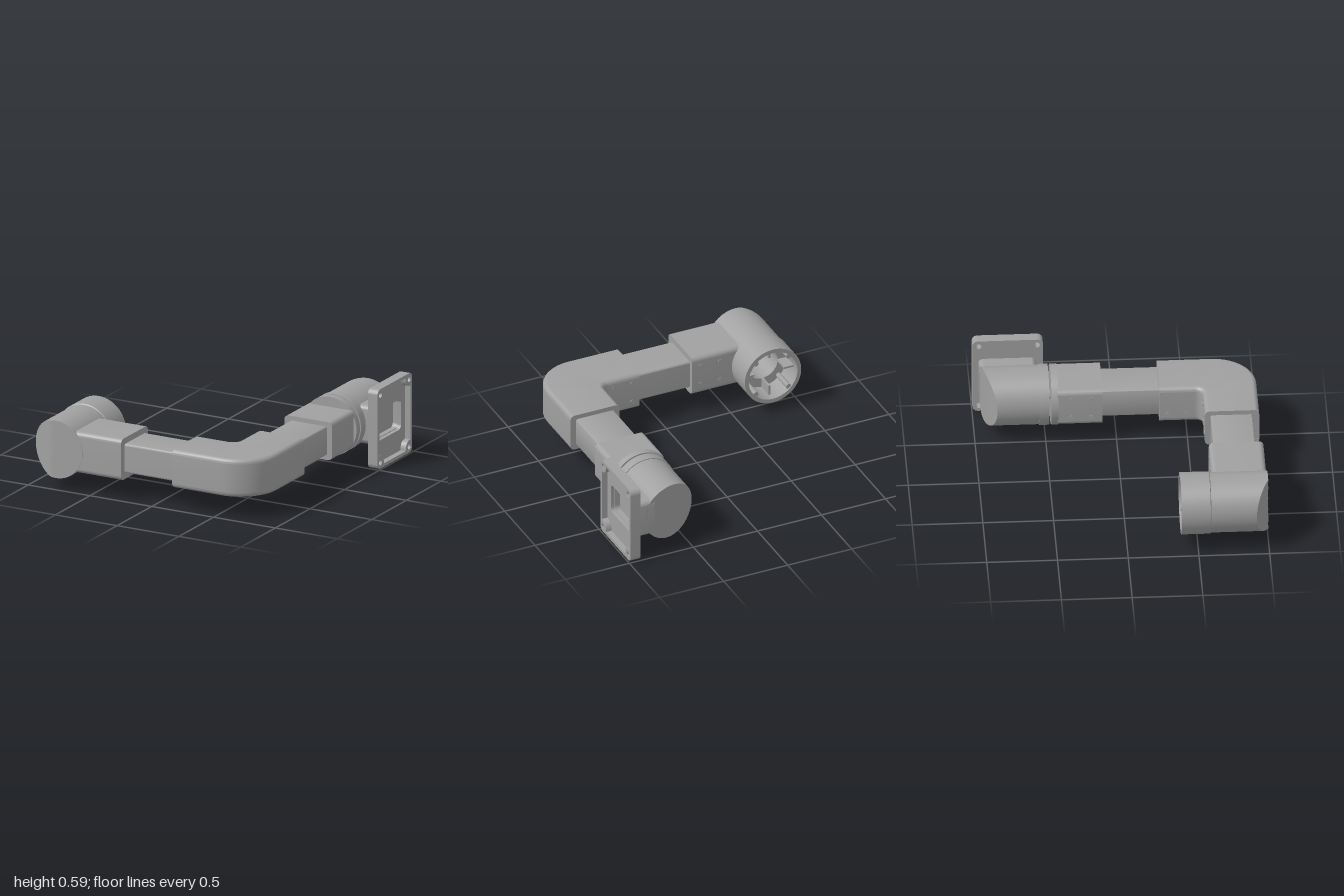
import * as THREE from 'three';
import { toCreasedNormals } from 'three/addons/utils/BufferGeometryUtils.js';

const CY = 0.3; // height of the arm's centre line

// Rounded rectangle outline, used for shapes and holes
function roundRect(w, h, r, target = new THREE.Shape()) {
  const a = w / 2, b = h / 2;
  target.moveTo(-a + r, -b).lineTo(a - r, -b);
  target.absarc(a - r, -b + r, r, -Math.PI / 2, 0);
  target.absarc(a - r, b - r, r, 0, Math.PI / 2);
  target.absarc(-a + r, b - r, r, Math.PI / 2, Math.PI);
  target.absarc(-a + r, -b + r, r, Math.PI, Math.PI * 1.5);
  return target;
}

function circlePath(x, y, r) {
  return new THREE.Path().absarc(x, y, r, 0, Math.PI * 2);
}

const extrude = (shape, depth) => toCreasedNormals(
  new THREE.ExtrudeGeometry(shape, { depth, bevelEnabled: false, curveSegments: 8 }), 0.6);

// Solid of revolution along z through (cx, CY); points are [radius, z]
function turned(points, cx, deform) {
  const geo = new THREE.LatheGeometry(points.map(p => new THREE.Vector2(...p)), 64);
  geo.rotateX(Math.PI / 2).translate(cx, CY, 0);
  if (deform) {
    const pos = geo.attributes.position;
    for (let i = 0; i < pos.count; i++) pos.setZ(i, deform(pos.getX(i), pos.getZ(i)));
  }
  return toCreasedNormals(geo, 0.5);
}

// Rounded-rectangle section swept between matching inner and outer points [ix, iz, ox, oz]
function loft(stations, height, r) {
  const pos = [], idx = [];
  const w0 = Math.hypot(stations[0][2] - stations[0][0], stations[0][3] - stations[0][1]);
  const ring = roundRect(w0, height, r).getPoints(6);
  if (ring[0].distanceTo(ring[ring.length - 1]) < 1e-6) ring.pop();
  const n = ring.length, last = stations.length - 1;
  for (const [ix, iz, ox, oz] of stations) {
    const w = Math.hypot(ox - ix, oz - iz);
    for (const p of ring) {
      // keep the corner radius constant while the width changes
      const off = Math.sign(p.x) * (w / 2 - w0 / 2) + p.x;
      const u = 0.5 + off / w;
      pos.push(ix + (ox - ix) * u, CY + p.y, iz + (oz - iz) * u);
    }
  }
  for (let i = 0; i < last; i++) for (let j = 0; j < n; j++) {
    const a = i * n + j, b = i * n + (j + 1) % n, c = b + n, d = a + n;
    idx.push(a, b, d, b, c, d);
  }
  for (let j = 1; j < n - 1; j++) {
    idx.push(0, j + 1, j);
    idx.push(last * n, last * n + j, last * n + j + 1);
  }
  const geo = new THREE.BufferGeometry();
  geo.setAttribute('position', new THREE.Float32BufferAttribute(pos, 3));
  geo.setIndex(idx);
  return toCreasedNormals(geo, 0.6);
}

export function createModel() {
  const model = new THREE.Group();
  const metal = new THREE.MeshStandardMaterial({ color: 0xa0a0a0 });
  metal.name = 'grey metal';

  function add(name, geo, parent = model) {
    const mesh = new THREE.Mesh(geo, metal);
    mesh.name = name;
    parent.add(mesh);
    return mesh;
  }
  function group(name) {
    const g = new THREE.Group();
    g.name = name;
    model.add(g);
    return g;
  }
  // Rectangular bars running along x or z
  const barX = (name, x0, x1, z0, z1, h, r) => add(name,
    extrude(roundRect(z1 - z0, h, r), x1 - x0).rotateY(Math.PI / 2).translate(x0, CY, (z0 + z1) / 2));
  const barZ = (name, x0, x1, z0, z1, h, r) => add(name,
    extrude(roundRect(x1 - x0, h, r), z1 - z0).translate((x0 + x1) / 2, CY, z0));

  // Open swivel housing with a sloped cap
  const HX = -0.775;
  const capRings = R => [1, 0.9, 0.8, 0.7, 0.6, 0.45, 0.3, 0.15, 0].map(k => R * k);
  add('openHousing', turned([
    [0, 0.85], [0.12, 0.85], [0.12, 0.56], [0.19, 0.56], [0.19, 0.38], [0.22, 0.38],
    [0.22, 0.585], [0.213, 0.59], ...capRings(0.213).map(r => [r, 1])
  ], HX, (x, z) => z > 0.99 ? Math.min(1, 0.91 + (x + 0.988) * 0.53) : z));

  // Screw bosses and ribs inside the open end
  const inside = group('housingInterior');
  for (let i = 0; i < 4; i++) {
    const a = Math.PI / 4 + i * Math.PI / 2;
    add('boss', new THREE.CylinderGeometry(0.02, 0.02, 0.17, 16).rotateX(Math.PI / 2)
      .translate(HX + 0.18 * Math.cos(a), CY + 0.18 * Math.sin(a), 0.475), inside);
    const b = i * Math.PI / 2;
    add('rib', new THREE.BoxGeometry(0.08, 0.014, 0.12).rotateZ(b)
      .translate(HX + 0.155 * Math.cos(b), CY + 0.155 * Math.sin(b), 0.5), inside);
  }

  // Straight run along x
  barX('housingSocket', -0.72, -0.25, 0.61, 0.997, 0.305, 0.035);
  barX('frontTube', -0.27, 0.18, 0.645, 0.945, 0.215, 0.015);

  // Corner elbow: small inner fillet, wide outer curve
  const stations = [[0.46, 0.3, 0.845, 0.3]];
  for (let i = 0; i <= 16; i++) {
    const a = (i / 16) * Math.PI / 2, c = Math.cos(a), s = Math.sin(a);
    stations.push([0.405 + 0.055 * c, 0.55 + 0.055 * s, 0.545 + 0.3 * c, 0.69 + 0.3 * s]);
  }
  stations.push([0.16, 0.605, 0.16, 0.99]);
  add('elbow', loft(stations, 0.282, 0.035));

  // Straight run along z
  barZ('sideTube', 0.505, 0.8, -0.12, 0.32, 0.215, 0.015);
  barZ('swivelSocket', 0.457, 0.843, -0.42, -0.1, 0.282, 0.035);

  // Swivel joint: two flanges on a thin pivot, then the capped body
  const SX = 0.65;
  const disc = (r, z0, z1) => turned([[0, z0], [r, z0], [r, z1], [0, z1]], SX);
  add('lowerFlange', disc(0.216, -0.462, -0.412));
  add('pivot', disc(0.035, -0.49, -0.45));
  add('upperFlange', disc(0.216, -0.545, -0.476));
  add('swivelBody', turned([
    ...capRings(0.21).reverse().map(r => [r, -0.95]), [0.21, -0.53], [0, -0.53]
  ], SX, (x, z) => {
    const t = (x - 0.44) / 0.42;
    return z < -0.94 ? -(0.845 + 0.11 * (2 * t - t * t)) : z;
  }));

  // Mounting neck and plate facing +x, with a recess, corner bosses and screw holes
  const plate = group('mountingPlate');
  const PZ = -0.747, PY = 0.295, W = 0.5, H = 0.59;
  const facing = (name, shape, x0, x1, y, z) => add(name,
    extrude(shape, x1 - x0).rotateY(Math.PI / 2).translate(x0, y, z), plate);
  const windowHole = () => roundRect(0.335, 0.225, 0.035, new THREE.Path());

  const neck = roundRect(0.405, 0.282, 0.035);
  neck.holes.push(windowHole());
  facing('neck', neck, 0.78, 0.915, CY, -0.752);
  facing('recessFloor', roundRect(0.34, 0.23, 0.035), 0.84, 0.875, CY, -0.752);

  const hx = W / 2 - 0.043, hy = H / 2 - 0.045;
  const addScrewHoles = shape => {
    for (const sx of [-1, 1]) for (const sy of [-1, 1])
      shape.holes.push(circlePath(sx * hx, sy * hy, 0.021));
    return shape;
  };
  const back = addScrewHoles(roundRect(W, H, 0.04));
  back.holes.push(windowHole());
  facing('plateBack', back, 0.91, 0.945, PY, PZ);

  const rim = addScrewHoles(roundRect(W, H, 0.04));
  const ix = W / 2 - 0.025, iy = H / 2 - 0.025, nx = hx - 0.05, ny = hy - 0.05;
  const cut = new THREE.Path().moveTo(-nx, -iy).lineTo(nx, -iy);
  cut.quadraticCurveTo(nx, -ny, ix, -ny).lineTo(ix, ny);
  cut.quadraticCurveTo(nx, ny, nx, iy).lineTo(-nx, iy);
  cut.quadraticCurveTo(-nx, ny, -ix, ny).lineTo(-ix, -ny);
  cut.quadraticCurveTo(-nx, -ny, -nx, -iy);
  rim.holes.push(cut);
  facing('plateRim', rim, 0.945, 0.988, PY, PZ);

  // Flush screws on the inner faces of the sockets, four to each
  const screws = group('screws');
  const screw = () => new THREE.CylinderGeometry(0.016, 0.016, 0.006, 16);
  for (const dy of [-0.075, 0.075]) {
    for (const x of [-0.47, -0.32, 0.22, 0.36])
      add('screw', screw().rotateX(Math.PI / 2).translate(x, CY + dy, x < 0 ? 0.609 : 0.604), screws);
    for (const z of [-0.32, -0.18, 0.36, 0.5])
      add('screw', screw().rotateZ(Math.PI / 2).translate(z < 0 ? 0.456 : 0.459, CY + dy, z), screws);
  }
  return model;
}
